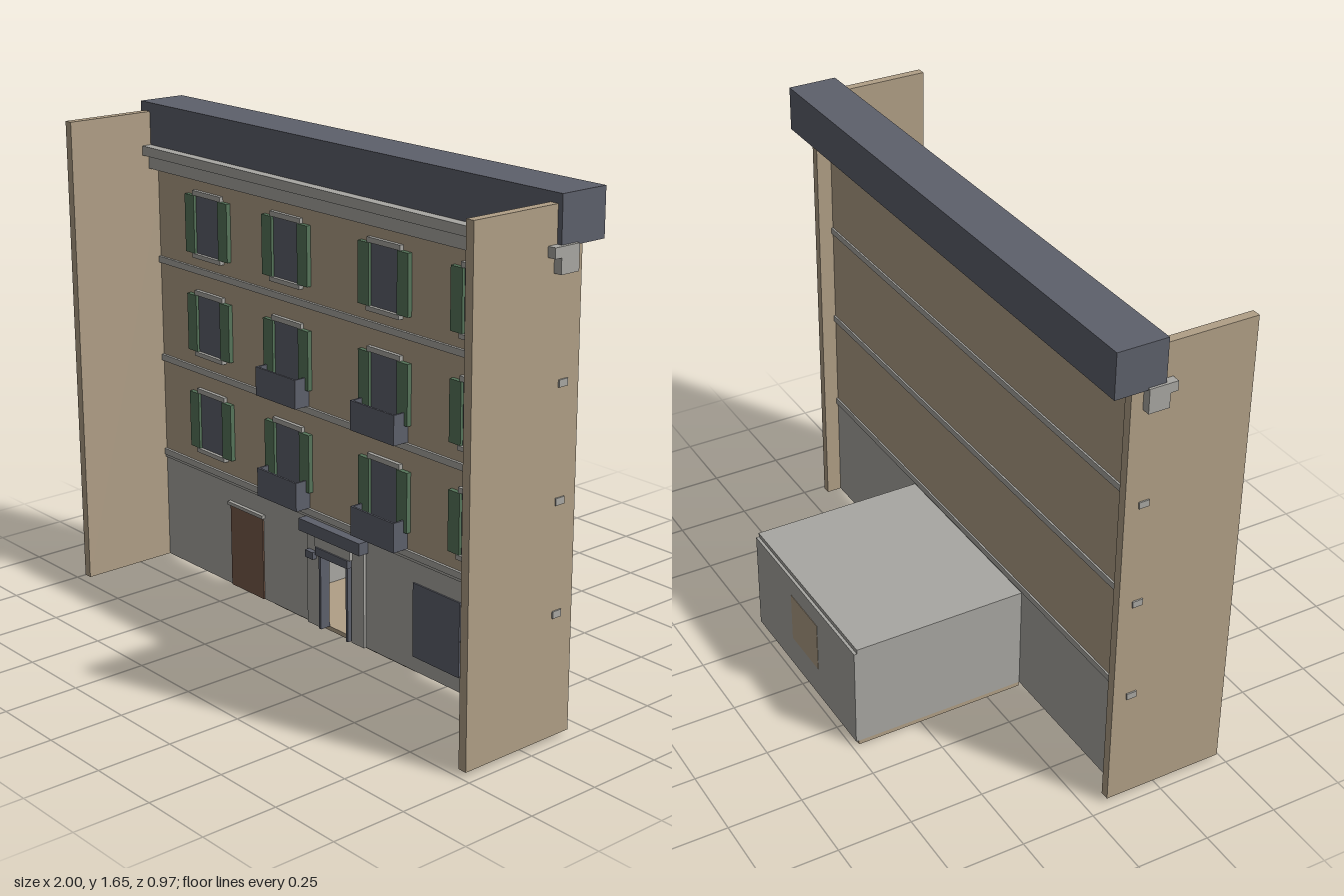
import * as THREE from 'three';

const mat = (name, color) => new THREE.MeshStandardMaterial({ name, color });

export function createModel() {
  const tan = mat('tan plaster', 0xb09f86);
  const grey = mat('grey stone', 0xa8a7a2);
  const dark = mat('slate', 0x5d606b);
  const green = mat('shutter green', 0x56755a);
  const brown = mat('door brown', 0x775a4a);

  const model = new THREE.Group();
  model.name = 'townhouseFacade';

  // Box given by its lower and upper limits on each axis
  function box(name, material, x0, x1, y0, y1, z0, z1, parent = model) {
    const mesh = new THREE.Mesh(new THREE.BoxGeometry(x1 - x0, y1 - y0, z1 - z0), material);
    mesh.position.set((x0 + x1) / 2, (y0 + y1) / 2, (z0 + z1) / 2);
    mesh.name = name;
    parent.add(mesh);
    return mesh;
  }
  function group(name) {
    const g = new THREE.Group();
    g.name = name;
    model.add(g);
    return g;
  }

  const back = 0.123, front = 0.142; // faces of the facade wall

  // Projecting side walls
  for (const s of [-1, 1]) {
    box('sideWall', tan, s * 0.955 - 0.015, s * 0.955 + 0.015, 0.015, 1.62, 0.07, 0.485);
  }

  // Ground floor wall with the entrance cut out, and the plain upper wall
  const wall = new THREE.Shape();
  wall.moveTo(-0.945, 0.015);
  wall.lineTo(-0.07, 0.015);
  wall.lineTo(-0.07, 0.275);
  wall.lineTo(0.065, 0.275);
  wall.lineTo(0.065, 0.015);
  wall.lineTo(0.945, 0.015);
  wall.lineTo(0.945, 0.4);
  wall.lineTo(-0.945, 0.4);
  const ground = new THREE.Mesh(
    new THREE.ExtrudeGeometry(wall, { depth: front - back, bevelEnabled: false }), grey);
  ground.position.z = back;
  ground.name = 'groundFloorWall';
  model.add(ground);
  box('upperWall', tan, -0.945, 0.945, 0.4, 1.5, back, front);

  // String courses passing through the side walls
  for (const y of [0.406, 0.754, 1.106]) {
    box('stringCourse', grey, -0.975, 0.975, y - 0.011, y + 0.011, 0.117, 0.151);
  }
  box('groundFloorMoulding', grey, -0.94, 0.94, 0.385, 0.396, front, 0.147);

  // Stepped cornice and roof block
  box('corniceLower', grey, -0.998, 0.998, 1.427, 1.475, 0.11, 0.18);
  box('corniceUpper', grey, -0.998, 0.998, 1.475, 1.507, 0.11, 0.205);
  box('roof', dark, -0.99, 0.987, 1.5, 1.65, 0, 0.17);

  // Shuttered windows, three floors of four
  for (const y of [0.475, 0.823, 1.167]) {
    for (const x of [-0.655, -0.24, 0.235, 0.65]) {
      const w = group('window');
      box('pane', dark, x - 0.068, x + 0.068, y, y + 0.198, front, front + 0.006, w);
      box('lintel', grey, x - 0.076, x + 0.076, y + 0.198, y + 0.215, front, 0.155, w);
      box('sill', grey, x - 0.076, x + 0.076, y - 0.015, y, front, 0.16, w);
      for (const s of [-1, 1]) {
        const c = x + s * 0.09;
        box('shutter', green, c - 0.025, c + 0.025, y, y + 0.198, front, 0.158, w);
      }
    }
  }

  // Open-topped balconies
  for (const y of [0.417, 0.767]) {
    for (const x of [-0.242, 0.234]) {
      const b = group('balcony');
      box('balconyFloor', dark, x - 0.102, x + 0.102, y, y + 0.008, front, 0.2, b);
      box('balconyFront', dark, x - 0.102, x + 0.102, y, y + 0.098, 0.193, 0.2, b);
      for (const s of [-1, 1]) {
        const c = x + s * 0.0985;
        box('balconySide', dark, c - 0.0035, c + 0.0035, y, y + 0.098, front, 0.194, b);
      }
    }
  }

  // Side door and shop window
  box('sideDoor', brown, -0.565, -0.388, 0.015, 0.31, front, front + 0.005);
  box('sideDoorLintel', grey, -0.572, -0.38, 0.31, 0.322, front, 0.155);
  box('shopWindow', dark, 0.368, 0.58, 0.065, 0.315, front, front + 0.005);

  // Entrance surround
  const e = group('entrance');
  box('surroundLeft', grey, 0.08, 0.14, 0.015, 0.345, front, 0.152, e);
  box('surroundRight', grey, -0.145, -0.085, 0.015, 0.345, front, 0.152, e);
  box('canopy', dark, -0.155, 0.15, 0.345, 0.387, front, 0.18, e);
  box('frieze', grey, -0.09, 0.085, 0.304, 0.345, front, 0.165, e);
  box('doorHood', dark, -0.083, 0.078, 0.276, 0.304, front, 0.17, e);
  box('transom', grey, -0.07, 0.065, 0.262, 0.276, back, 0.148, e);
  box('jambRight', dark, -0.076, -0.066, 0.015, 0.276, back, 0.16, e);
  box('jambLeft', dark, 0.06, 0.07, 0.015, 0.276, back, 0.16, e);
  box('wallLamp', dark, -0.135, -0.096, 0.255, 0.28, 0.152, 0.17, e);

  // Room behind the entrance
  const r = group('room');
  box('roomFloor', tan, -0.358, 0.355, 0, 0.015, -0.475, 0.122, r);
  box('roomCeiling', grey, -0.358, 0.355, 0.37, 0.385, -0.475, back, r);
  box('roomBackWall', grey, -0.358, 0.355, 0.015, 0.37, -0.485, -0.475, r);
  box('roomSideWall', grey, -0.358, -0.35, 0.015, 0.37, -0.475, back, r);
  box('roomSideWall', grey, 0.347, 0.355, 0.015, 0.37, -0.475, back, r);
  box('backPanel', tan, -0.095, 0.092, 0.125, 0.303, -0.4865, -0.4735, r);

  return model;
}
